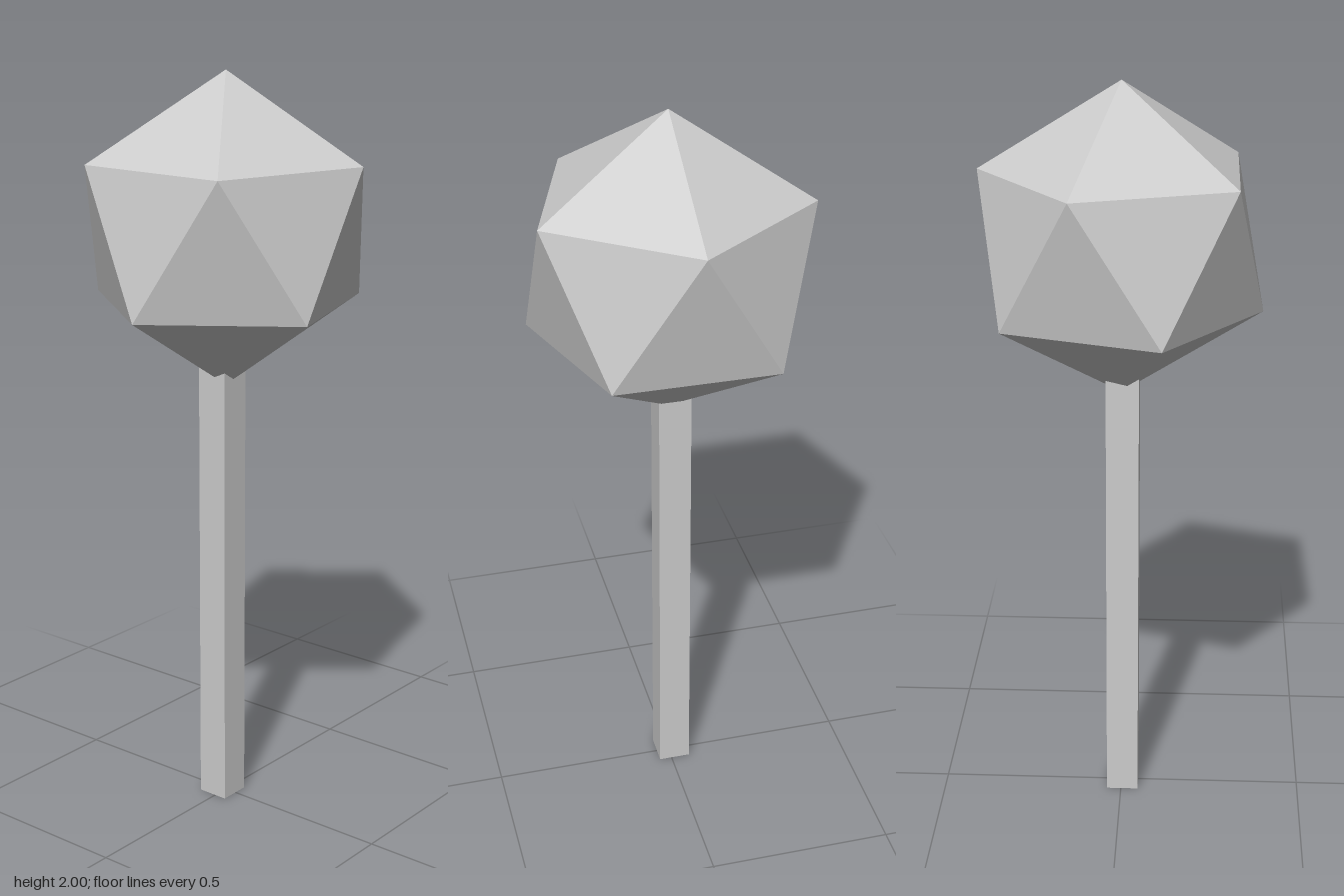
import * as THREE from 'three';

export function createModel() {
  const model = new THREE.Group();
  const material = new THREE.MeshStandardMaterial({ color: 0xcccccc, flatShading: true });

  // Faceted crown: an icosahedron turned to stand on one corner
  const radius = 0.409;
  const crownGeometry = new THREE.IcosahedronGeometry(radius, 0);
  crownGeometry.rotateX(-Math.atan((1 + Math.sqrt(5)) / 2));
  crownGeometry.rotateY(Math.PI);
  const crown = new THREE.Mesh(crownGeometry, material);
  crown.name = 'crown';
  crown.position.y = 2 - radius;
  model.add(crown);

  // Square trunk, slightly off centre, reaching into the crown
  const height = 1.25;
  const trunk = new THREE.Mesh(new THREE.BoxGeometry(0.087, height, 0.087), material);
  trunk.name = 'trunk';
  trunk.position.set(-0.009, height / 2, 0.004);
  model.add(trunk);

  return model;
}
